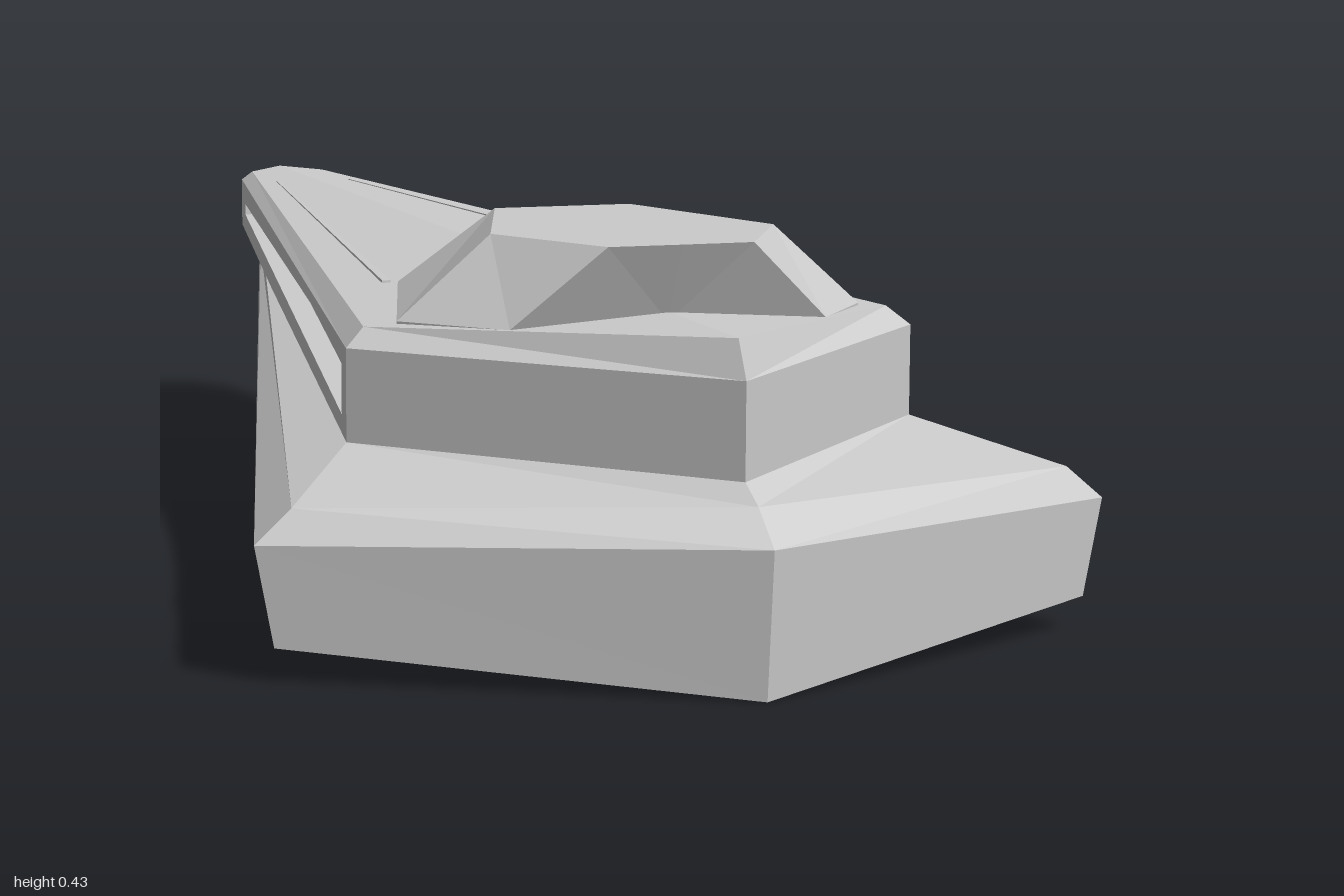
import * as THREE from 'three';

const material = new THREE.MeshStandardMaterial({ color: 0xcccccc, flatShading: true });

// Collects faces for the +x half and mirrors each one to -x.
class HalfShell {
  constructor() { this.pos = []; }
  face(...p) {
    for (let i = 1; i < p.length - 1; i++) {
      const t = [p[0], p[i], p[i + 1]].map(v => new THREE.Vector3(...v));
      if (new THREE.Triangle(...t).getArea() < 1e-7) continue;
      for (const v of t) this.pos.push(v.x, v.y, v.z);
      for (const v of [t[0], t[2], t[1]]) this.pos.push(-v.x, v.y, v.z);
    }
  }
  // Half rings run from the front centre, round the +x side, to the rear centre.
  wall(lower, upper, skip = -1) {
    for (let i = 0; i < lower.length - 1; i++) {
      if (i !== skip) this.face(lower[i], lower[i + 1], upper[i + 1], upper[i]);
    }
  }
  loft(rings, skips = {}) {
    rings.slice(1).forEach((r, k) => this.wall(rings[k], r, skips[k]));
    this.face(...rings.at(-1));
    this.face(...[...rings[0]].reverse());
  }
  mesh(name) {
    const g = new THREE.BufferGeometry();
    g.setAttribute('position', new THREE.Float32BufferAttribute(this.pos, 3));
    g.computeVertexNormals();
    const m = new THREE.Mesh(g, material);
    m.name = name;
    return m;
  }
}

// Wedge-shaped lower hull with a bevelled rim and sloping deck
function lowerHull() {
  const s = new HalfShell();
  s.loft([
    [[0, 0, 0.985], [0.445, 0.036, 0.765], [0.06, 0.18, -0.73], [0, 0.18, -0.73]],
    [[0, 0.155, 1], [0.465, 0.142, 0.765], [0.075, 0.236, -0.82], [0, 0.236, -0.82]],
    [[0, 0.19, 0.955], [0.425, 0.177, 0.76], [0.068, 0.25, -0.84], [0, 0.25, -0.84]],
    [[0, 0.21, 0.915], [0.32, 0.21, 0.58], [0.062, 0.268, -0.86], [0, 0.268, -0.86]],
  ]);
  return s.mesh('lowerHull');
}

// Long upper body with a recessed slot along each flank
function upperBody() {
  const s = new HalfShell();
  const base = [[0, 0.2, 0.918], [0.32, 0.2, 0.58], [0.065, 0.27, -0.965], [0, 0.27, -1]];
  const rim = [[0, 0.31, 0.918], [0.32, 0.31, 0.58], [0.065, 0.335, -0.965], [0, 0.335, -1]];
  const top = [[0, 0.35, 0.895], [0.297, 0.33, 0.565], [0.052, 0.347, -0.955], [0, 0.35, -1]];
  s.loft([base, rim, top], { 0: 1 });

  // Flank: a frame round the opening, then the pocket behind it
  const at = (t, y, inset = 0) => [
    THREE.MathUtils.lerp(0.32, 0.065, t) - inset, y, THREE.MathUtils.lerp(0.58, -0.965, t)];
  const outer = [base[1], base[2], rim[2], rim[1]];
  const opening = [[0.032, 0.232], [0.958, 0.291], [0.958, 0.306], [0.032, 0.301]];
  const hole = opening.map(([t, y]) => at(t, y));
  const floor = opening.map(([t, y]) => at(t, y, 0.028));
  for (let i = 0; i < 4; i++) {
    const j = (i + 1) % 4;
    s.face(outer[i], outer[j], hole[j], hole[i]);
    s.face(hole[i], hole[j], floor[j], floor[i]);
  }
  s.face(...floor);
  return s.mesh('upperBody');
}

// Fine tapering ribs along the top of the body
function topRibs() {
  const s = new HalfShell();
  const front = [0.19, 0.337, 0.27], rear = [0.052, 0.346, -0.8];
  const section = ([x, y, z], w, h) => [
    [x + w, y - 0.006, z], [x + w, y + h, z], [x - w, y + h, z], [x - w, y - 0.006, z]];
  const a = section(front, 0.005, 0.003), b = section(rear, 0.002, 0.002);
  for (let i = 0; i < 3; i++) s.face(a[i], b[i], b[i + 1], a[i + 1]);
  s.face(...a);
  s.face(...[...b].reverse());
  return s.mesh('topRibs');
}

// Faceted bridge with an undercut front and a sloping back
function bridge() {
  const s = new HalfShell();
  const mid = [[0, 0.34, 0.687], [0.175, 0.338, 0.692], [0.262, 0.335, 0.57],
    [0.185, 0.342, 0.3], [0.05, 0.362, 0.145], [0, 0.362, 0.145]];
  const base = mid.map(([x, , z]) => [x, 0.325, z]);
  const roof = [[0, 0.425, 0.728], [0.08, 0.425, 0.727], [0.16, 0.425, 0.575],
    [0.08, 0.425, 0.33], [0.08, 0.425, 0.33], [0, 0.425, 0.33]];
  s.loft([base, mid, roof]);
  return s.mesh('bridge');
}

export function createModel() {
  const group = new THREE.Group();
  group.name = 'starship';
  group.add(lowerHull(), upperBody(), topRibs(), bridge());
  return group;
}
